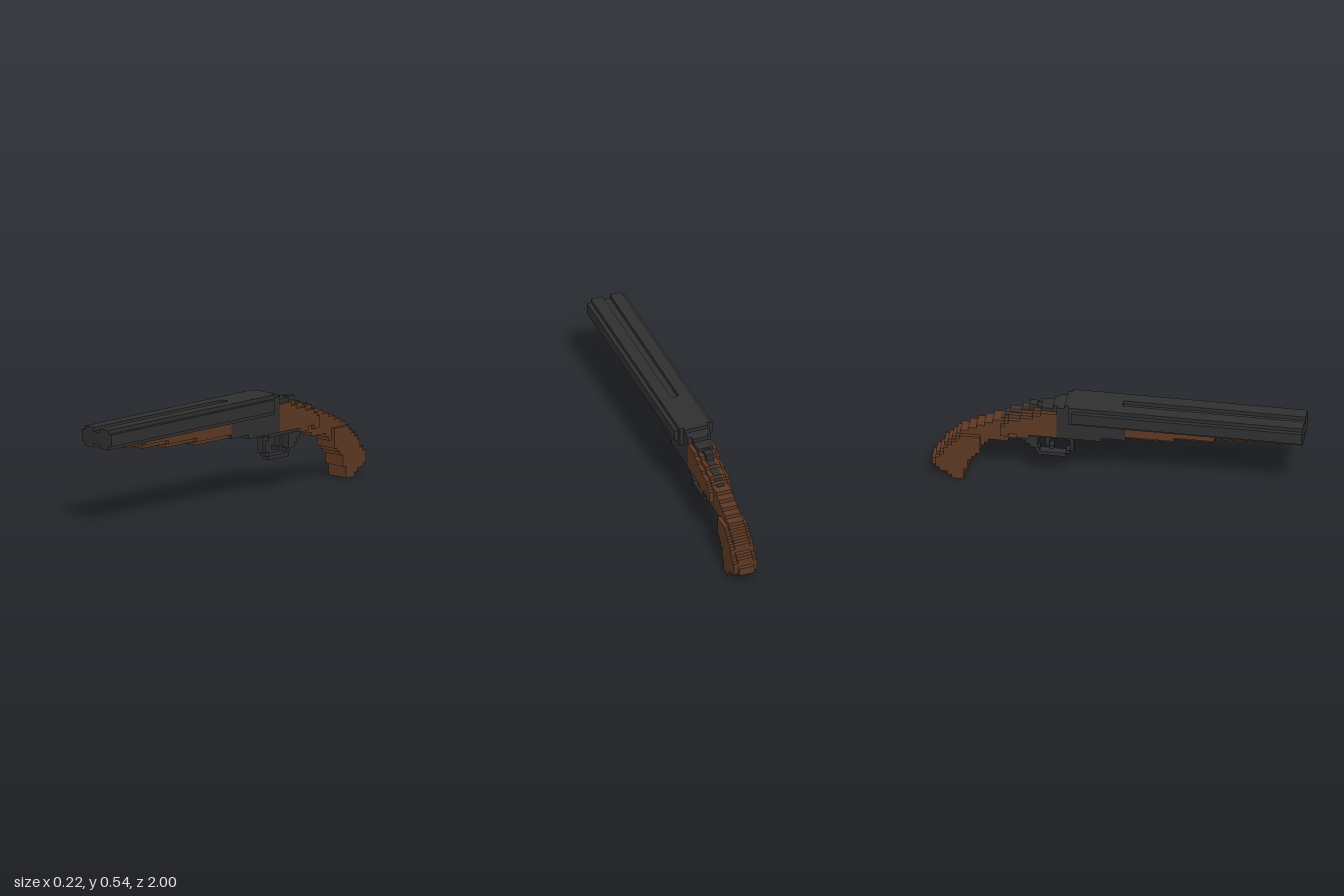
import * as THREE from 'three';

const V = 2 / 92; // size of one voxel

export function createModel() {
  const root = new THREE.Group();
  root.name = 'blockShotgun';
  const metal = new THREE.MeshStandardMaterial({ color: 0x2f2f2f });
  metal.name = 'darkMetal';
  const wood = new THREE.MeshStandardMaterial({ color: 0x5c3823 });
  wood.name = 'brownWood';

  // Box in voxel units: x and y ranges, k range counted back from the muzzle
  function box(parent, name, mat, x0, x1, y0, y1, k0, k1) {
    const g = new THREE.BoxGeometry((x1 - x0) * V, (y1 - y0) * V, (k1 - k0) * V);
    g.translate((x0 + x1) / 2 * V, (y0 + y1) / 2 * V, 1 - (k0 + k1) / 2 * V);
    const m = new THREE.Mesh(g, mat);
    m.name = name;
    parent.add(m);
  }
  // Box centred on x with half width w
  const mid = (p, n, mat, w, y0, y1, k0, k1) => box(p, n, mat, -w, w, y0, y1, k0, k1);
  // Pair of boxes mirrored left and right
  function pair(p, n, mat, a, b, y0, y1, k0, k1) {
    box(p, n + 'Left', mat, a, b, y0, y1, k0, k1);
    box(p, n + 'Right', mat, -b, -a, y0, y1, k0, k1);
  }
  // Stepped side profile, one [bottom, top] column per voxel, extruded from x0 to x1
  function stepped(p, name, mat, k0, cols, x0, x1) {
    const pts = [];
    cols.forEach(([, t], i) => pts.push([k0 + i, t], [k0 + i + 1, t]));
    for (let i = cols.length - 1; i >= 0; i--) {
      pts.push([k0 + i + 1, cols[i][0]], [k0 + i, cols[i][0]]);
    }
    const shape = new THREE.Shape(pts.map(([k, y]) => new THREE.Vector2(1 - k * V, y * V)));
    const g = new THREE.ExtrudeGeometry(shape, { depth: (x1 - x0) * V, bevelEnabled: false });
    g.rotateY(-Math.PI / 2);
    g.translate(x1 * V, 0, 0);
    const m = new THREE.Mesh(g, mat);
    m.name = name;
    p.add(m);
  }
  function group(name) {
    const g = new THREE.Group();
    g.name = name;
    root.add(g);
    return g;
  }

  // Twin barrels with a groove above and below
  const barrels = group('barrels');
  mid(barrels, 'barrelBody', metal, 5, 21, 24, 0, 57);
  pair(barrels, 'barrelTop', metal, 1, 4, 24, 25, 0, 45);
  mid(barrels, 'barrelTopRear', metal, 4, 24, 25, 45, 57);
  pair(barrels, 'barrelUnderside', metal, 1, 4, 20, 21, 0, 44);
  mid(barrels, 'barrelUndersideRear', metal, 4, 20, 21, 44, 57);

  // Receiver and breech
  const receiver = group('receiver');
  mid(receiver, 'receiverFront', metal, 3, 16, 20, 44, 50);
  mid(receiver, 'receiverRear', metal, 3, 15, 20, 50, 61);
  mid(receiver, 'breechWide', metal, 4, 20, 25, 57, 58);
  mid(receiver, 'breechTop', metal, 3, 24, 25, 58, 59);
  mid(receiver, 'breech', metal, 3, 20, 24, 58, 61);
  mid(receiver, 'breechStep', metal, 2, 22, 24, 61, 62);
  mid(receiver, 'tang', metal, 2, 22, 23, 62, 65);
  mid(receiver, 'lever', metal, 1, 21, 22.5, 65, 66);
  mid(receiver, 'leverTip', metal, 1, 21, 23, 66, 68);

  // Forend: each lower layer starts further back, with narrower bottom
  const forend = group('forend');
  const starts = [8, 14, 22, 32];
  starts.forEach((k, i) => {
    const y = 19 - i;
    if (i < 3) {
      mid(forend, 'forendCore', wood, 2, y, y + 1, k, 44);
      pair(forend, 'forendSide', wood, 2, 3, y, y + 1, starts[i + 1], 44);
    } else {
      pair(forend, 'forendBottom', wood, 1, 2, y, y + 1, k, 44);
      mid(forend, 'forendBottomRear', wood, 1, y, y + 1, 40, 44);
      mid(forend, 'forendLatch', metal, 1, y, y + 1, k, 40);
    }
  });

  // Stock core: bottoms and tops of the columns from the breech to the butt
  const bottoms = [15, 15, 15, 15, 15, 15, 15, 14, 14, 14, 13, 13, 12, 12, 12, 12,
    12, 11, 10, 8, 7, 6, 3, 0, 0, 0, 1, 2, 2, 3, 3];
  const tops = [22, 22, 22, 22, 22, 22, 21, 21, 21, 20, 20, 20, 19, 18, 18, 18,
    17, 17, 16, 16, 15, 15, 14, 14, 13, 12, 11, 10, 8, 7, 5];
  const K = 61;
  const core = bottoms.map((b, i) => [b, tops[i]]);
  const stock = group('stock');
  stepped(stock, 'stockCore', wood, K, core, -2, 2);
  // Wider cheeks at the wrist and at the grip
  const wrist = core.slice(0, 14).map(([b, t], i) => [i > 9 ? b + 2 : Math.max(b, 14), i > 3 ? t - 1 : t]);
  const grip = core.slice(19, 30).map(([b, t]) => [b, Math.min(13, t - 1)]);
  for (const [side, x] of [['Left', 2], ['Right', -3]]) {
    stepped(stock, 'wristCheek' + side, wood, K, wrist, x, x + 1);
    stepped(stock, 'gripCheek' + side, wood, K + 19, grip, x, x + 1);
  }
  // Metal strap let into the top of the wrist
  const strap = tops.slice(6, 14).map((t) => [t - 0.9, t + 0.15]);
  stepped(stock, 'topStrap', metal, K + 6, strap, -1, 1);

  // Trigger guard and trigger
  const guard = group('triggerGuard');
  mid(guard, 'guardPlate', metal, 2, 14, 15, 58, 68);
  mid(guard, 'guardFrontTop', metal, 1, 13, 14, 57, 59);
  mid(guard, 'guardFront', metal, 1, 10, 13, 57, 58);
  mid(guard, 'guardCorner', metal, 1, 9, 10, 58, 59);
  mid(guard, 'guardBottom', metal, 1, 8, 9, 59, 66);
  mid(guard, 'guardRearCorner', metal, 1, 9, 10, 65.5, 66.5);
  const rear = [[10, 14], [10, 14], [11, 14], [12, 14]];
  stepped(guard, 'guardRear', metal, 66, rear, -1, 1);
  mid(guard, 'trigger', metal, 1, 11, 14, 63, 64);
  mid(guard, 'triggerTip', metal, 1, 10, 11, 62, 63);

  return root;
}
